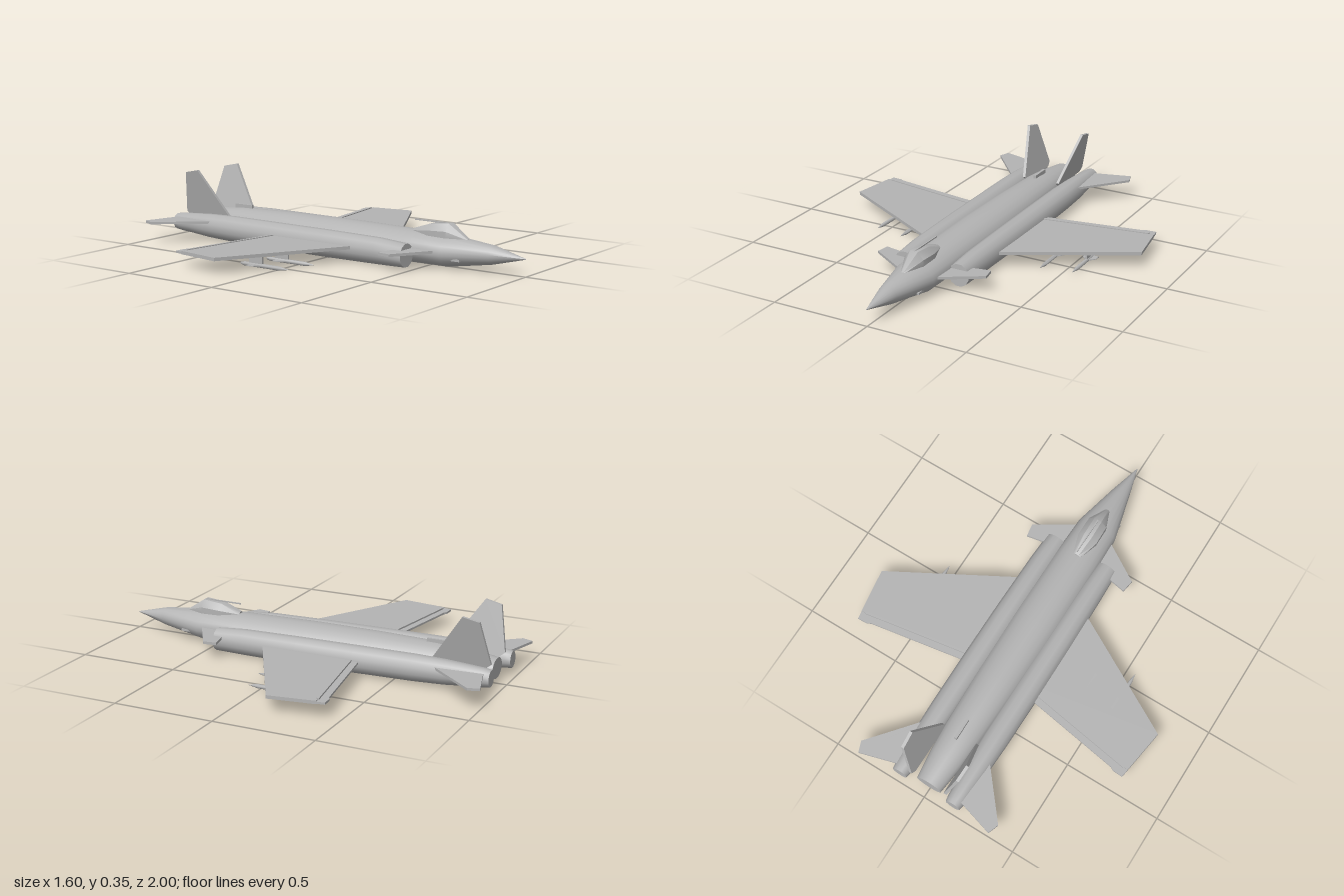
import * as THREE from 'three';
import { toCreasedNormals } from 'three/addons/utils/BufferGeometryUtils.js';

const grey = new THREE.MeshStandardMaterial({ color: 0xb3b3b3 });
grey.name = 'airframe grey';

// Closed body through elliptical sections [z, x, y, halfWidth, halfHeight], front to back
function loft(sections, sides, crease = 0.7) {
  const pos = [], index = [];
  for (const [z, cx, cy, rx, ry] of sections) {
    for (let j = 0; j < sides; j++) {
      const a = ((j + 0.5) / sides) * Math.PI * 2;
      pos.push(cx + rx * Math.cos(a), cy + ry * Math.sin(a), z);
    }
  }
  const last = sections.length - 1;
  for (let j = 0; j < sides; j++) {
    const k = (j + 1) % sides;
    for (let i = 0; i < last; i++) {
      const a = i * sides + j, b = i * sides + k, c = a + sides, d = b + sides;
      index.push(a, c, b, b, c, d);
    }
    if (j > 0 && j < sides - 1) {
      index.push(0, j, k);
      index.push(last * sides, last * sides + k, last * sides + j);
    }
  }
  const g = new THREE.BufferGeometry();
  g.setAttribute('position', new THREE.Float32BufferAttribute(pos, 3));
  g.setIndex(index);
  return toCreasedNormals(g, crease);
}

// Horizontal plate from [x, z] corners between two heights
function plate(points, y0, y1, side = 1) {
  const shape = new THREE.Shape(points.map(([x, z]) => new THREE.Vector2(side * x, -z)));
  const g = new THREE.ExtrudeGeometry(shape, { depth: y1 - y0, bevelEnabled: false });
  return g.rotateX(-Math.PI / 2).translate(0, y0, 0);
}

// Upright plate from [z, y] corners, leaning outward with height
function fin(points, thick, x, lean, side) {
  const shape = new THREE.Shape(points.map(([z, y]) => new THREE.Vector2(-z, y)));
  const g = new THREE.ExtrudeGeometry(shape, { depth: thick, bevelEnabled: false });
  g.rotateY(Math.PI / 2).translate(-thick / 2, 0, 0);
  const p = g.attributes.position;
  for (let i = 0; i < p.count; i++) {
    p.setX(i, p.getX(i) + side * (x + lean * (p.getY(i) - 0.14)));
  }
  g.computeVertexNormals();
  return g;
}

export function createModel() {
  const model = new THREE.Group();
  model.name = 'jet';
  const add = (name, geometry, parent = model) => {
    const mesh = new THREE.Mesh(geometry, grey);
    mesh.name = name;
    parent.add(mesh);
    return mesh;
  };
  const box = (w, h, d, x, y, z) => new THREE.BoxGeometry(w, h, d).translate(x, y, z);

  // Central body
  add('fuselage', loft([
    [1, 0, 0.09, 0.002, 0.002],
    [0.83, 0, 0.09, 0.048, 0.045],
    [0.6, 0, 0.083, 0.105, 0.074],
    [0.4, 0, 0.087, 0.111, 0.078],
    [0, 0, 0.09, 0.115, 0.081],
    [-0.35, 0, 0.09, 0.108, 0.08],
    [-0.65, 0, 0.09, 0.096, 0.074],
    [-0.8, 0, 0.088, 0.085, 0.064],
    [-0.95, 0, 0.082, 0.067, 0.05],
  ], 20));
  add('canopy', loft([
    [0.7, 0, 0.142, 0.012, 0.006],
    [0.6, 0, 0.155, 0.054, 0.064],
    [0.5, 0, 0.155, 0.056, 0.054],
    [0.4, 0, 0.155, 0.024, 0.018],
  ], 8));
  add('canopyRail', box(0.006, 0.006, 0.2, 0, 0.212, 0.5));
  add('dorsalBlade', box(0.014, 0.045, 0.11, 0, 0.158, -0.655));

  for (const s of [1, -1]) {
    const half = new THREE.Group();
    half.name = s > 0 ? 'leftSide' : 'rightSide';
    model.add(half);

    // Engine body with a flat intake and a narrower nozzle
    add('engineNacelle', loft([
      [0.45, s * 0.147, 0.066, 0.055, 0.057],
      [0.3, s * 0.148, 0.071, 0.06, 0.064],
      [0, s * 0.149, 0.073, 0.064, 0.067],
      [-0.3, s * 0.149, 0.075, 0.065, 0.067],
      [-0.6, s * 0.149, 0.079, 0.063, 0.065],
      [-0.75, s * 0.15, 0.081, 0.057, 0.06],
      [-0.87, s * 0.15, 0.083, 0.048, 0.051],
      [-0.94, s * 0.15, 0.083, 0.045, 0.046],
      [-0.975, s * 0.15, 0.083, 0.039, 0.041],
    ], 12), half);
    add('noseSensor', box(0.012, 0.01, 0.045, s * 0.077, 0.058, 0.675), half);

    // Flying surfaces
    add('wing', plate([[0.1, 0.23], [0.8, -0.16], [0.766, -0.39], [0.1, -0.28]], 0.072, 0.088, s), half);
    add('flap', plate([[0.1, -0.28], [0.766, -0.39], [0.76, -0.43], [0.71, -0.427],
      [0.69, -0.417], [0.1, -0.32]], 0.074, 0.084, s), half);
    add('flapHinge', plate([[0.2, -0.29], [0.74, -0.378], [0.743, -0.392], [0.2, -0.304]], 0.07, 0.092, s), half);
    add('canard', plate([[0.07, 0.585], [0.1, 0.57], [0.293, 0.45], [0.283, 0.385], [0.07, 0.425]], 0.082, 0.095, s), half);
    add('tailplane', plate([[0.15, -0.66], [0.2, -0.72], [0.388, -0.945], [0.368, -1],
      [0.2, -0.952], [0.15, -0.94]], 0.1, 0.112, s), half);
    add('tailFin', fin([[-0.67, 0.13], [-0.83, 0.36], [-0.912, 0.343], [-0.955, 0.13],
      [-0.93, 0.11], [-0.69, 0.11]], 0.015, 0.1, 0.25, s), half);

    // Two stores under each wing
    for (const [x, tip] of [[0.39, 0.095], [0.545, 0.065]]) {
      const store = new THREE.Group();
      store.name = 'wingStore';
      half.add(store);
      const cx = s * x;
      add('pylon', box(0.009, 0.066, 0.08, cx, 0.055, tip - 0.19), store);
      add('storeBody', loft([
        [tip, cx, 0.017, 0.001, 0.001],
        [tip - 0.05, cx, 0.017, 0.01, 0.01],
        [tip - 0.26, cx, 0.017, 0.01, 0.01],
        [tip - 0.28, cx, 0.017, 0.006, 0.006],
      ], 8, 0.9), store);
      add('storeFins', plate([[x - 0.008, tip - 0.16], [x + 0.008, tip - 0.16], [x + 0.035, tip - 0.19],
        [x + 0.035, tip - 0.22], [x - 0.035, tip - 0.22], [x - 0.035, tip - 0.19]], 0.015, 0.019, s), store);
    }
  }
  return model;
}
